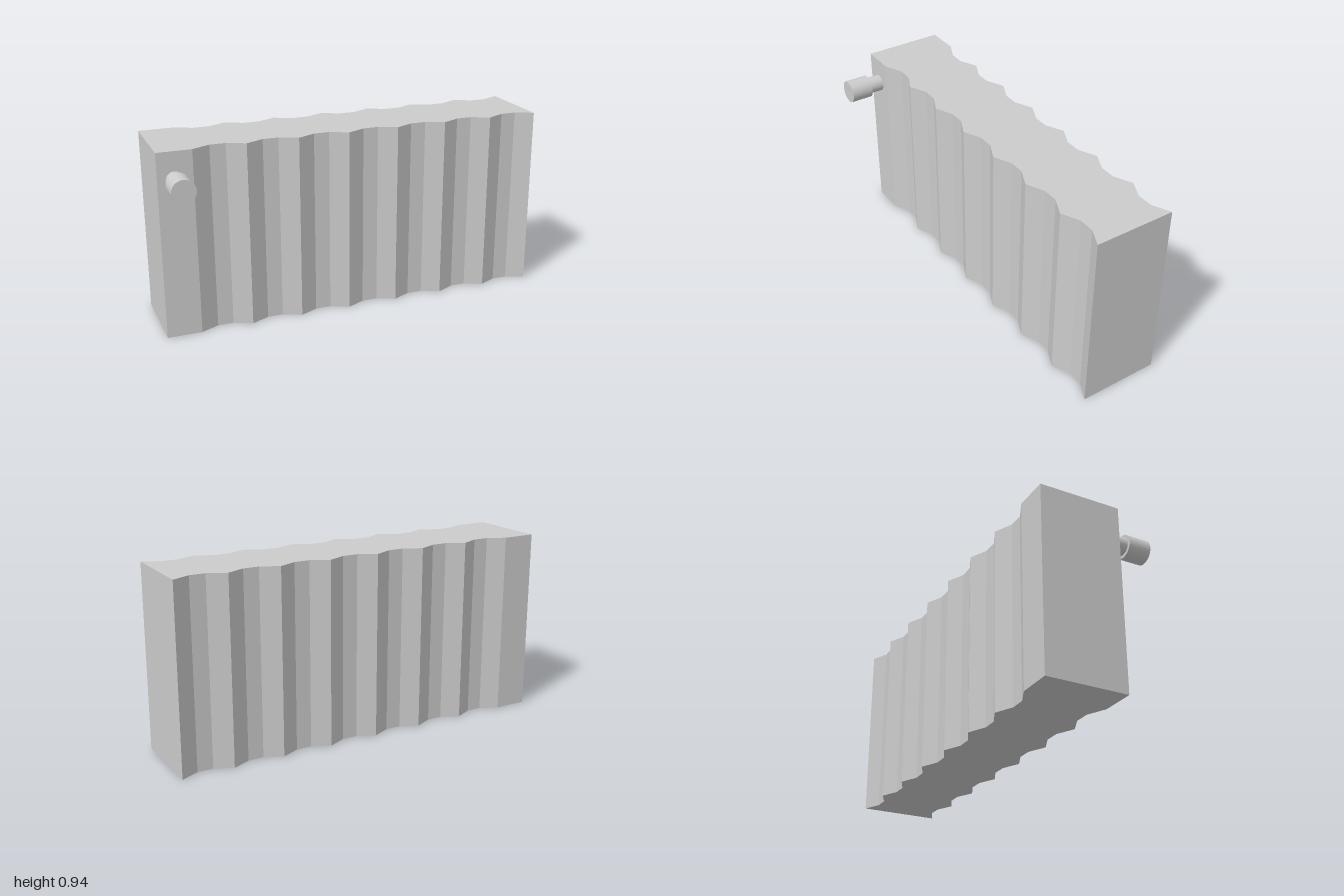
import * as THREE from 'three';

const HEIGHT = 0.94;
const MID_Z = -0.094;    // centre line of the body
const PEAK = 0.206;      // half depth at the ridges
const VALLEY = 0.163;    // half depth in the grooves
const PITCH = 0.261;     // ridge spacing
const GROOVES = 7;

export function createModel() {
  const model = new THREE.Group();
  const material = new THREE.MeshStandardMaterial({ color: 0xcccccc, flatShading: true });

  // Half outline: flat end section, then grooves with flat floors and sharp ridges
  const outline = [[-1, PEAK], [1 - GROOVES * PITCH, PEAK]];
  for (let i = 0; i < GROOVES; i++) {
    const x = 1 - (GROOVES - i) * PITCH;
    outline.push([x + 0.091, VALLEY], [x + 0.17, VALLEY], [x + PITCH, PEAK]);
  }

  // Mirror the outline front to back and extrude it upward
  const front = outline.map(([x, d]) => new THREE.Vector2(x, -(MID_Z + d)));
  const back = outline.map(([x, d]) => new THREE.Vector2(x, -(MID_Z - d))).reverse();
  const bodyGeometry = new THREE.ExtrudeGeometry(new THREE.Shape([...front, ...back]), {
    depth: HEIGHT, bevelEnabled: false,
  });
  bodyGeometry.rotateX(-Math.PI / 2);
  const body = new THREE.Mesh(bodyGeometry, material);
  body.name = 'corrugatedBody';
  model.add(body);

  // Valve: narrow stem and wider knob on the front, at the model's right
  const valve = new THREE.Group();
  valve.name = 'valve';
  valve.position.set(-0.917, 0.8, 0);
  const addCylinder = (name, radius, z0, z1) => {
    const geometry = new THREE.CylinderGeometry(radius, radius, z1 - z0, 32);
    geometry.rotateX(Math.PI / 2);
    const mesh = new THREE.Mesh(geometry, material);
    mesh.name = name;
    mesh.position.z = (z0 + z1) / 2;
    valve.add(mesh);
  };
  addCylinder('valveStem', 0.043, 0.10, 0.19);
  addCylinder('valveKnob', 0.059, 0.186, 0.302);
  model.add(valve);

  return model;
}
